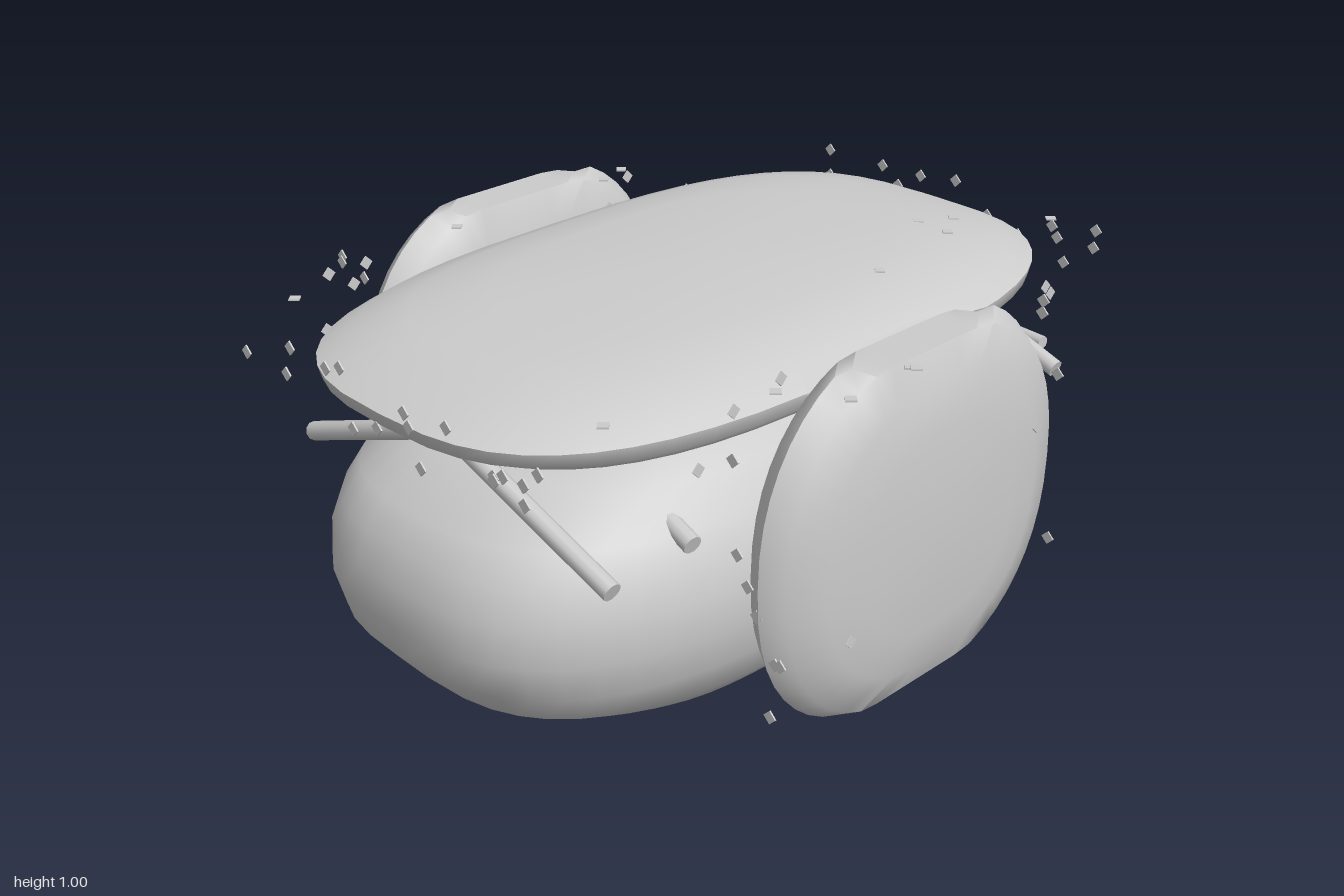
import * as THREE from 'three';
import { mergeGeometries, mergeVertices, toCreasedNormals } from 'three/addons/utils/BufferGeometryUtils.js';

const material = new THREE.MeshStandardMaterial({ color: 0xcccccc });

function addMesh(parent, name, geometry) {
  const mesh = new THREE.Mesh(geometry, material);
  mesh.name = name;
  parent.add(mesh);
  return mesh;
}

// Closed cushion: stacked superellipse rings, each layer is [y, halfX, halfZ]
function loft(layers, power, clipX = Infinity, segments = 48) {
  const pos = [], index = [];
  const last = layers.length - 1;
  for (const [y, rx, rz] of layers) {
    for (let i = 0; i < segments; i++) {
      const a = (i / segments) * Math.PI * 2;
      const c = Math.cos(a), s = Math.sin(a);
      const x = Math.sign(c) * Math.abs(c) ** (2 / power) * rx;
      const z = Math.sign(s) * Math.abs(s) ** (2 / power) * rz;
      pos.push(THREE.MathUtils.clamp(x, -clipX, clipX), y, z);
    }
  }
  const bottom = pos.length / 3, top = bottom + 1;
  pos.push(0, layers[0][0], 0, 0, layers[last][0], 0);
  for (let i = 0; i < segments; i++) {
    const j = (i + 1) % segments;
    for (let k = 0; k < last; k++) {
      const a = k * segments + i, b = k * segments + j;
      index.push(a, a + segments, b, b, a + segments, b + segments);
    }
    index.push(bottom, i, j, top, last * segments + j, last * segments + i);
  }
  const geometry = new THREE.BufferGeometry();
  geometry.setAttribute('position', new THREE.Float32BufferAttribute(pos, 3));
  geometry.setIndex(index);
  return toCreasedNormals(mergeVertices(geometry), 1.1);
}

// Straight round rod between two points
function rod(from, to, radius) {
  const a = new THREE.Vector3(...from), b = new THREE.Vector3(...to);
  const dir = b.clone().sub(a);
  const geometry = new THREE.CylinderGeometry(radius, radius, dir.length(), 10);
  geometry.applyQuaternion(new THREE.Quaternion().setFromUnitVectors(
    new THREE.Vector3(0, 1, 0), dir.normalize()));
  const mid = a.add(b).multiplyScalar(0.5);
  return geometry.translate(mid.x, mid.y, mid.z);
}

// Small diamond flakes scattered over the faces of a box; faces are [axis, side, count]
function flakes(center, half, faces, seed) {
  let state = seed;
  const random = () => (state = (state * 16807) % 2147483647) / 2147483647;
  const parts = [];
  for (const [axis, side, count] of faces) {
    for (let i = 0; i < count; i++) {
      const p = center.map((c, k) => c + (random() * 2 - 1) * half[k] * 0.88);
      p[axis] = center[axis] + side * (half[axis] - random() * 0.012);
      const flake = new THREE.CylinderGeometry(0.018, 0.018, 0.004, 4);
      if (axis === 0) flake.rotateZ(Math.PI / 2);
      if (axis === 2) flake.rotateX(Math.PI / 2);
      parts.push(flake.translate(...p).toNonIndexed());
    }
  }
  const merged = mergeGeometries(parts);
  merged.computeVertexNormals();
  return merged;
}

export function createModel() {
  const model = new THREE.Group();
  model.name = 'cushionedBody';

  // Rounded body with a flat base
  addMesh(model, 'body', loft([
    [0, 0.335, 0.54], [0.1, 0.44, 0.73], [0.19, 0.53, 0.89], [0.28, 0.57, 0.96],
    [0.38, 0.59, 0.985], [0.48, 0.59, 0.975], [0.56, 0.567, 0.945], [0.63, 0.535, 0.895],
    [0.72, 0.465, 0.75], [0.79, 0.38, 0.55], [0.83, 0.2, 0.3],
  ], 2.8).translate(0, 0, 0.01));

  // Flat-topped cushion on the back
  const topLayers = [[0.79, 0.5], [0.81, 0.78], [0.84, 0.92], [0.875, 0.99], [0.91, 1],
    [0.945, 0.92], [0.98, 0.77], [1, 0.56]];
  addMesh(model, 'topPad',
    loft(topLayers.map(([y, s]) => [y, 0.59 * s, 0.967 * s]), 2.9).translate(0, 0, 0.01));
  addMesh(model, 'topPadFlakes', flakes([0, 0.9, 0.005], [0.59, 0.1, 0.97],
    [[2, 1, 17], [2, -1, 17], [0, 1, 10], [0, -1, 10], [1, 1, 9]], 11));

  // Side cushions standing upright, cut flat above and below
  const sideLayers = [[-0.105, 0.52], [-0.087, 0.74], [-0.055, 0.93], [0, 1],
    [0.055, 0.93], [0.087, 0.74], [0.105, 0.52]];
  for (const side of [1, -1]) {
    const prefix = side > 0 ? 'left' : 'right';
    const pad = loft(sideLayers.map(([y, s]) => [y, 0.5 * s, 0.51 * s]), 2.3, 0.44);
    addMesh(model, prefix + 'SidePad', pad.rotateZ(-Math.PI / 2).translate(0.697 * side, 0.56, 0.008));
    addMesh(model, prefix + 'SidePadFlakes', flakes([0.697 * side, 0.56, 0.005], [0.105, 0.44, 0.51],
      [[2, 1, 7], [2, -1, 7], [0, 1, 4], [0, -1, 4], [1, 1, 4]], side > 0 ? 37 : 91));
  }

  for (const side of [1, -1]) {
    // Sloping struts front and back, and short pegs behind the side cushions
    for (const end of [1, -1]) {
      const where = (end > 0 ? 'front' : 'back') + (side > 0 ? 'Left' : 'Right');
      const z = 0.005 + 0.795 * end;
      addMesh(model, where + 'Strut',
        rod([0.54 * side, 0.615, z], [-0.01 * side, 0.815, z], 0.024));
      addMesh(model, where + 'Peg',
        rod([0.43 * side, 0.65, 0.01 + 0.525 * end], [0.525 * side, 0.62, 0.01 + 0.535 * end], 0.024));
    }

    // Bent rear bars
    for (const y of [0.61, 0.23]) {
      addMesh(model, 'rearBar', rod([0.41 * side, y, -0.915], [0, y, -0.955], 0.018));
    }

    // Inward-pointing rear chevrons
    for (const y of [0.56, 0.34]) {
      addMesh(model, 'rearChevron', rod([0.35 * side, y, -0.97], [0.19 * side, 0.45, -0.985], 0.012));
    }
  }
  return model;
}
